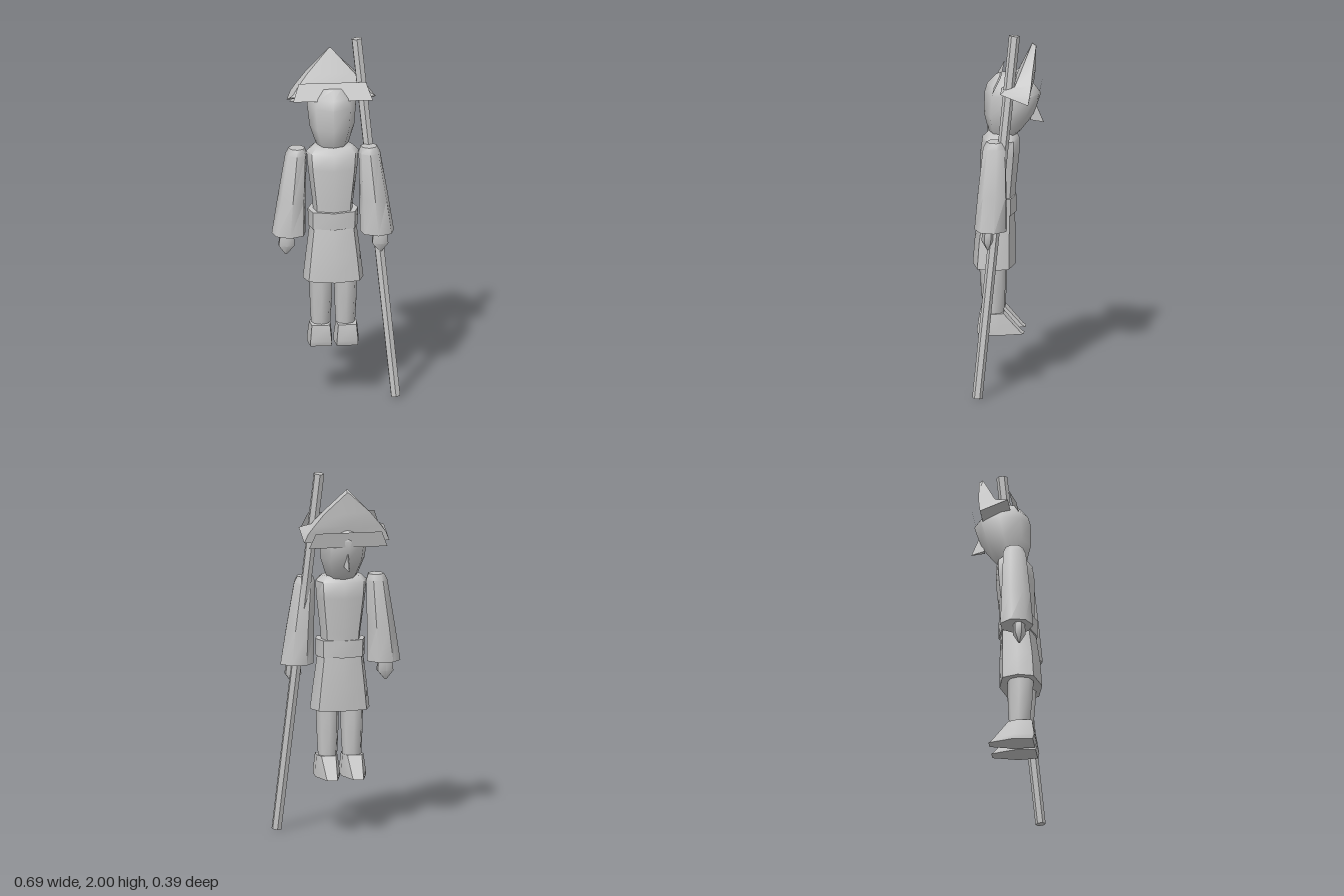
import * as THREE from 'three';
import { toCreasedNormals } from 'three/addons/utils/BufferGeometryUtils.js';

const grey = new THREE.MeshStandardMaterial({ color: 0xc4c4c4, side: THREE.DoubleSide });
grey.name = 'plain grey';

// Closed skin over rings of points, listed from bottom to top
function loft(name, rings, crease = 0.9) {
  const n = rings[0].length, pos = [], idx = [];
  rings.forEach(r => r.forEach(p => pos.push(...p)));
  for (let k = 0; k < rings.length - 1; k++)
    for (let i = 0; i < n; i++) {
      const j = (i + 1) % n, a = k * n + i, b = k * n + j;
      idx.push(a, b, b + n, a, b + n, a + n);
    }
  for (const [k, up] of [[0, false], [rings.length - 1, true]]) {
    const c = pos.length / 3;
    pos.push(...[0, 1, 2].map(d => rings[k].reduce((s, p) => s + p[d], 0) / n));
    for (let i = 0; i < n; i++) {
      const a = k * n + i, b = k * n + (i + 1) % n;
      idx.push(...(up ? [c, a, b] : [c, b, a]));
    }
  }
  const g = new THREE.BufferGeometry();
  g.setAttribute('position', new THREE.Float32BufferAttribute(pos, 3));
  g.setIndex(idx);
  const mesh = new THREE.Mesh(toCreasedNormals(g, crease), grey);
  mesh.name = name;
  return mesh;
}

// Oval ring given by centre x, height, back z, front z and half width
function oval(cx, y, z0, z1, rx, n = 8) {
  return Array.from({ length: n }, (_, i) => {
    const a = i / n * Math.PI * 2;
    return [cx + Math.sin(a) * rx, y, (z0 + z1) / 2 + Math.cos(a) * (z1 - z0) / 2];
  });
}

// Body ring: broad flat sides with a shallow ridge along the middle
function bodyRing(y, z0, z1, rx) {
  const m = (z0 + z1) / 2, h = (z1 - z0) / 2;
  return [[0, 1], [0.84, 0.72], [1, 0], [0.8, -0.75], [0, -1], [-0.8, -0.75], [-1, 0], [-0.84, 0.72]]
    .map(([x, z]) => [x * rx, y, m + z * h]);
}

// Symmetric four-cornered plate: top and bottom edges as [y, z, half width]
function plate(name, [y1, z1, w1], [y0, z0, w0]) {
  const g = new THREE.BufferGeometry();
  g.setAttribute('position', new THREE.Float32BufferAttribute(
    [-w0, y0, z0, w0, y0, z0, w1, y1, z1, -w1, y1, z1], 3));
  g.setIndex([0, 1, 2, 0, 2, 3]);
  g.computeVertexNormals();
  const mesh = new THREE.Mesh(g, grey);
  mesh.name = name;
  return mesh;
}

export function createModel() {
  const model = new THREE.Group();
  model.name = 'staffBearer';
  const figure = new THREE.Group();
  figure.name = 'figure';
  figure.position.x = -0.015;
  model.add(figure);

  // Clothing
  figure.add(loft('torso', [
    bodyRing(1.0, -0.035, 0.15, 0.105), bodyRing(1.1, -0.04, 0.15, 0.11),
    bodyRing(1.3, -0.06, 0.152, 0.135), bodyRing(1.39, -0.06, 0.14, 0.142),
    bodyRing(1.42, -0.03, 0.11, 0.11)]));
  figure.add(loft('belt', [bodyRing(0.97, -0.045, 0.168, 0.135), bodyRing(1.065, -0.045, 0.168, 0.137)]));
  figure.add(loft('skirt', [
    bodyRing(0.675, -0.04, 0.193, 0.165), bodyRing(0.82, -0.04, 0.182, 0.148),
    bodyRing(0.98, -0.036, 0.158, 0.127)]));

  // Limbs
  for (const [s, side] of [[1, 'left'], [-1, 'right']]) {
    figure.add(loft(side + 'Sleeve', [
      oval(s * 0.24, 0.93, -0.015, 0.17, 0.095, 7), oval(s * 0.225, 1.12, -0.01, 0.153, 0.08, 7),
      oval(s * 0.2, 1.38, -0.002, 0.125, 0.06, 7), oval(s * 0.197, 1.415, 0.012, 0.108, 0.045, 7)]));
    figure.add(loft(side + 'Hand', [
      oval(s * 0.258, 0.82, 0.09, 0.1, 0.006, 6), oval(s * 0.255, 0.87, 0.06, 0.13, 0.05, 6),
      oval(s * 0.253, 0.94, 0.06, 0.125, 0.042, 6)]));
    figure.add(loft(side + 'Leg', [
      oval(s * 0.067, 0.4, 0.02, 0.13, 0.052), oval(s * 0.067, 0.55, 0.012, 0.145, 0.06),
      oval(s * 0.068, 0.7, 0.01, 0.155, 0.063)]));
    // Shoe with a long toe pointing away from the heel
    const shoe = (y, heel, ball, toe, w, tw, drop = 0) =>
      [[-w * 0.85, heel], [w * 0.85, heel], [w, ball], [tw, toe], [-tw, toe], [-w, ball]]
        .map(([x, z], i) => [s * 0.072 + x, y - (i === 3 || i === 4 ? drop : 0), z]);
    figure.add(loft(side + 'Shoe', [
      shoe(0.303, 0.155, 0.05, -0.09, 0.068, 0.028), shoe(0.33, 0.163, 0.05, -0.075, 0.068, 0.03, 0.018),
      shoe(0.42, 0.15, 0.07, 0.02, 0.058, 0.04)], 0.6));
  }

  // Head and nose
  figure.add(loft('head', [
    oval(0, 1.4, -0.04, 0.09, 0.07), oval(0, 1.43, -0.07, 0.11, 0.09),
    oval(0, 1.52, -0.14, 0.132, 0.122), oval(0, 1.64, -0.178, 0.13, 0.134),
    oval(0, 1.69, -0.14, 0.115, 0.115), oval(0, 1.74, -0.06, 0.07, 0.065)]));
  figure.add(loft('nose', [
    [[-0.016, 1.49, -0.12], [0.016, 1.49, -0.12], [0.003, 1.475, -0.193], [-0.003, 1.475, -0.193]],
    [[-0.004, 1.57, -0.14], [0.004, 1.57, -0.14], [0.002, 1.565, -0.155], [-0.002, 1.565, -0.155]]], 0.3));

  // Hat: tilted brim sweeping up to a thin peak
  const hatRing = (y0, z0, w0, y1, z1, w1, bulge = 0) => [
    [-w0, y0, z0], [0, y0, z0 + bulge], [w0, y0, z0],
    [w1, y1, z1], [0, y1, z1 - bulge], [-w1, y1, z1]];
  figure.add(loft('hat', [
    hatRing(1.69, 0.03, 0.236, 1.63, -0.122, 0.236),
    hatRing(1.702, 0.012, 0.21, 1.68, -0.13, 0.215),
    hatRing(1.72, -0.045, 0.185, 1.72, -0.135, 0.185, 0.008),
    hatRing(1.79, -0.075, 0.128, 1.79, -0.14, 0.128, 0.01),
    hatRing(1.92, -0.13, 0.004, 1.905, -0.152, 0.004)], 0.7));
  figure.add(plate('rearHatFlap', [1.77, 0.03, 0.183], [1.68, 0.075, 0.217]));
  figure.add(plate('faceHatFlap', [1.69, -0.18, 0.183], [1.605, -0.16, 0.217]));

  // Slanting staff
  const top = new THREE.Vector3(0.123, 1.997, -0.042), foot = new THREE.Vector3(0.32, 0.004, 0.148);
  const axis = top.clone().sub(foot);
  const shaft = new THREE.CylinderGeometry(0.03, 0.028, axis.length(), 6);
  const staff = new THREE.Mesh(toCreasedNormals(shaft, 0.9), grey);
  staff.name = 'staff';
  staff.position.copy(top).add(foot).multiplyScalar(0.5);
  staff.quaternion.setFromUnitVectors(new THREE.Vector3(0, 1, 0), axis.normalize());
  model.add(staff);
  return model;
}
